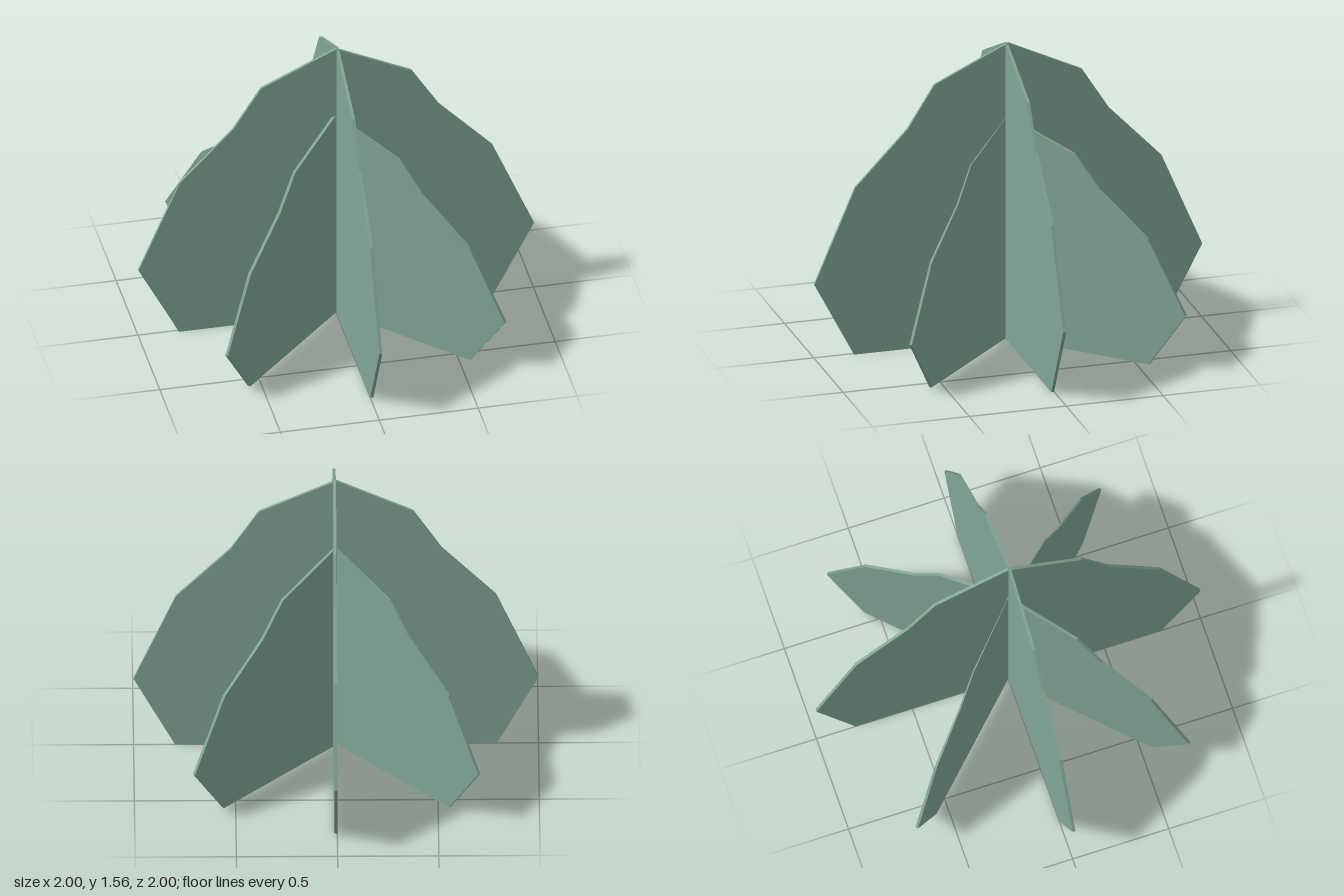
import * as THREE from 'three';

// Half outline of the bush: radius, height
const OUTLINE = [[0, 0], [0.795, 0], [1, 0.39], [0.79, 0.88], [0.52, 1.16], [0.38, 1.38], [0, 1.56]];
const THICKNESS = 0.015;

// Thin leaf panel running outward from the trunk axis; taper thins it toward the axis
function leafPanel(heightScale, offset, taper) {
  const shape = new THREE.Shape(OUTLINE.map(([r, y]) => new THREE.Vector2(r, y * heightScale)));
  const geometry = new THREE.ExtrudeGeometry(shape, { depth: THICKNESS, bevelEnabled: false });
  geometry.translate(0, 0, offset - THICKNESS / 2);
  if (taper) {
    const p = geometry.attributes.position;
    for (let i = 0; i < p.count; i++) p.setZ(i, p.getZ(i) * (0.1 + 0.9 * p.getX(i)));
    geometry.computeVertexNormals();
  }
  return geometry;
}

export function createModel() {
  const group = new THREE.Group();
  group.name = 'bush';
  const leaf = new THREE.MeshStandardMaterial({ color: 0x82a596, flatShading: true });

  // Direction in degrees, height scale, sideways offset, taper
  const panels = [
    ['rightTallLeaf', 180, 1, -0.0075, false],
    ['leftTallLeaf', 0, 1, 0.0075, false],
    ['frontTallLeaf', -90, 1, -0.0075, false],
    ['backTallLeaf', 90, 1, 0.0075, false],
    ['frontLeftLowLeaf', -45, 0.75, 0.0075, true],
    ['backRightLowLeaf', 135, 0.75, 0.0075, true],
    ['backLeftLowLeaf', 45, 0.75, 0, false],
    ['frontRightLowLeaf', -135, 0.75, 0, false],
  ];
  for (const [name, degrees, scale, offset, taper] of panels) {
    const mesh = new THREE.Mesh(leafPanel(scale, offset, taper), leaf);
    mesh.name = name;
    mesh.rotation.y = THREE.MathUtils.degToRad(degrees);
    group.add(mesh);
  }
  return group;
}
